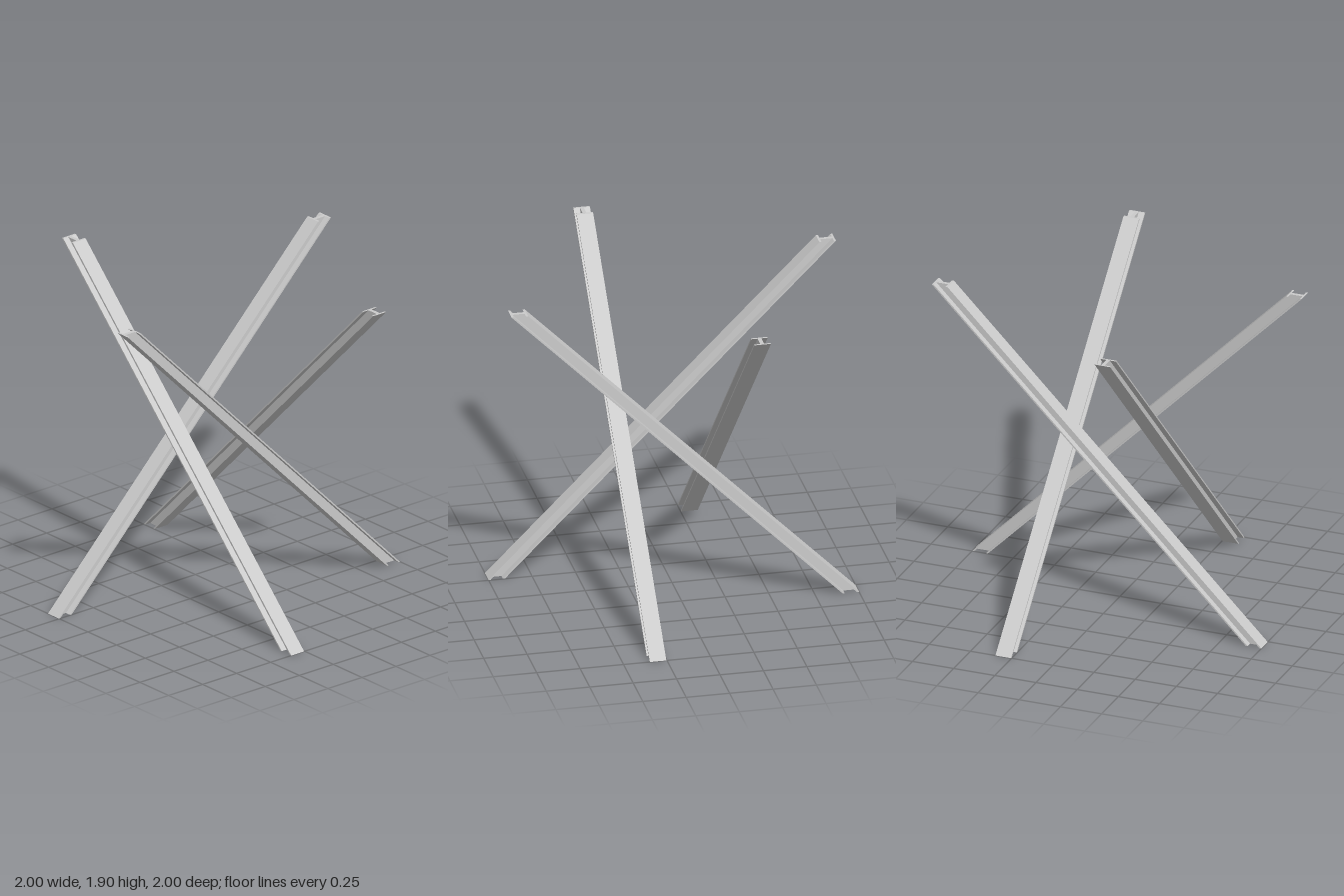
import * as THREE from 'three';

const HEIGHT = 1.905;  // beam rise, ends cut level
const SIZE = 0.095;    // outer size of the level-cut section
const FLANGE = 0.012;
const WEB = 0.022;
const OFFSET = 0.301;  // distance of each beam from the centre axis

// I-section, flanges on the two sides facing along the lean
function sectionShape() {
  const s = SIZE / 2, f = s - FLANGE, w = WEB / 2;
  return new THREE.Shape([
    [-s, -s], [-f, -s], [-f, -w], [f, -w], [f, -s], [s, -s],
    [s, s], [f, s], [f, w], [-f, w], [-f, s], [-s, s],
  ].map(([x, y]) => new THREE.Vector2(x, y)));
}

// Upright extrusion sheared to 45 degrees, so both ends stay level
function beamGeometry() {
  const geometry = new THREE.ExtrudeGeometry(sectionShape(), { depth: HEIGHT, bevelEnabled: false });
  geometry.rotateX(-Math.PI / 2);
  const p = geometry.attributes.position;
  for (let i = 0; i < p.count; i++) p.setX(i, p.getX(i) + HEIGHT / 2 - p.getY(i));
  geometry.translate(0, 0, OFFSET);
  geometry.computeVertexNormals();
  return geometry;
}

export function createModel() {
  const group = new THREE.Group();
  group.name = 'crossedBeams';
  const geometry = beamGeometry();
  const material = new THREE.MeshStandardMaterial({ color: 0xcccccc, flatShading: true });
  // Four identical beams in quarter turns around the vertical axis
  ['frontBeam', 'leftBeam', 'backBeam', 'rightBeam'].forEach((name, i) => {
    const beam = new THREE.Mesh(geometry, material);
    beam.name = name;
    beam.rotation.y = i * Math.PI / 2;
    group.add(beam);
  });
  return group;
}
